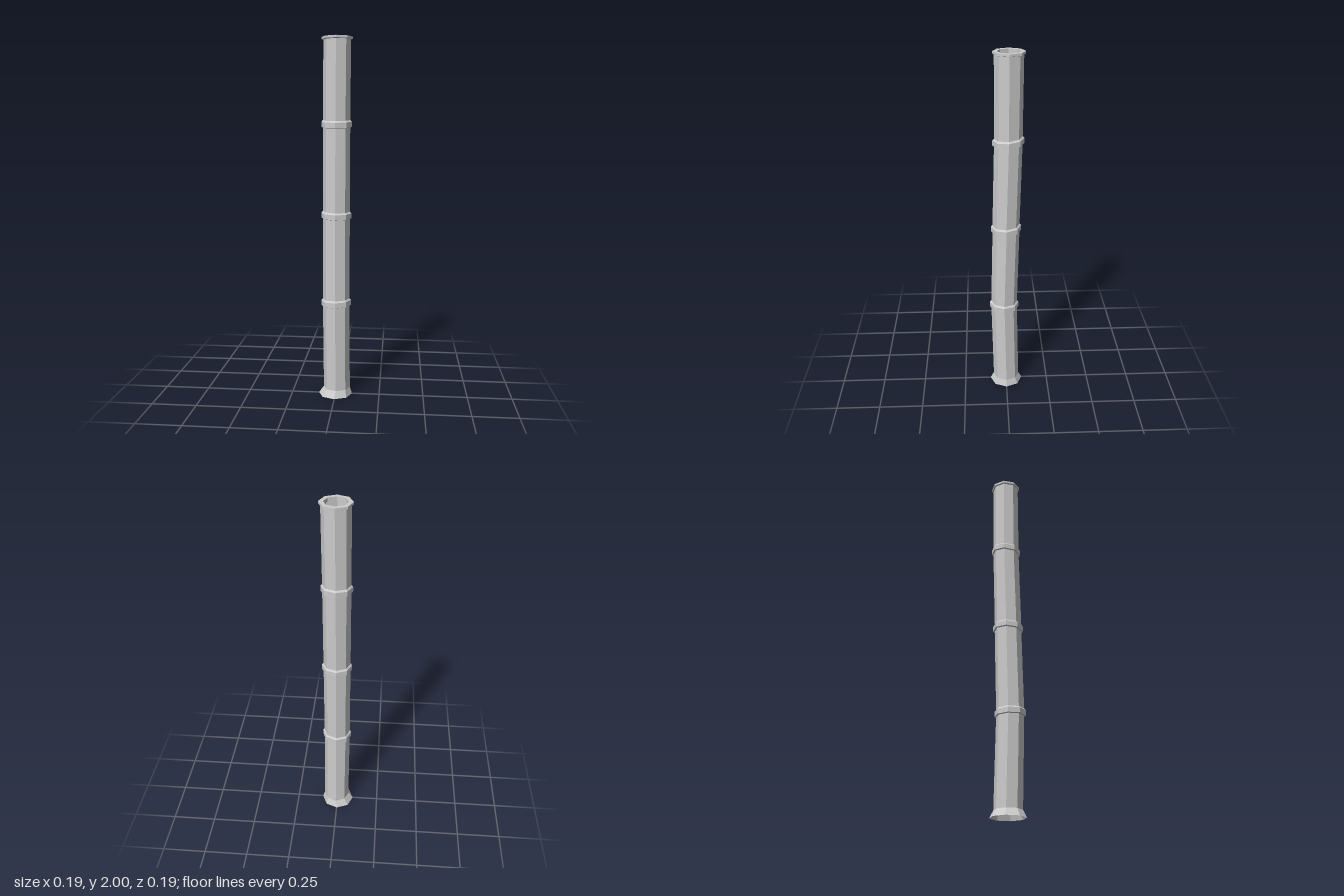
import * as THREE from 'three';

const SIDES = 8;

// Skin a list of octagonal rings: [y, radius, centreX, centreZ, tiltX, tiltZ]
function skin(name, rows, material) {
  const pos = [], index = [];
  for (const [y, r, cx, cz, tx = 0, tz = 0] of rows) {
    for (let i = 0; i < SIDES; i++) {
      const a = (i / SIDES) * Math.PI * 2;
      const dx = r * Math.sin(a), dz = r * Math.cos(a);
      pos.push(cx + dx, y + tx * dx + tz * dz, cz + dz);
    }
  }
  for (let j = 0; j < rows.length - 1; j++) {
    for (let i = 0; i < SIDES; i++) {
      const a = j * SIDES + i, b = j * SIDES + (i + 1) % SIDES;
      index.push(a, b, b + SIDES, a, b + SIDES, a + SIDES);
    }
  }
  const indexed = new THREE.BufferGeometry();
  indexed.setAttribute('position', new THREE.Float32BufferAttribute(pos, 3));
  indexed.setIndex(index);
  const geo = indexed.toNonIndexed();
  geo.computeVertexNormals();
  const mesh = new THREE.Mesh(geo, material);
  mesh.name = name;
  return mesh;
}

export function createModel() {
  const group = new THREE.Group();
  group.name = 'bambooPole';
  const material = new THREE.MeshStandardMaterial({
    color: 0xcccccc, flatShading: true, side: THREE.DoubleSide,
  });

  // Joints along the slightly bent stalk: [y, centreX, centreZ, tiltX, tiltZ]
  const joints = [
    [0.04, 0.007, 0, 0, 0],
    [0.54, 0.004, 0.011, 0.03, 0.02],
    [1.035, 0.004, 0, -0.02, -0.05],
    [1.535, 0.004, -0.012, 0, -0.08],
    [1.985, 0.007, -0.015, 0, 0],
  ];

  // Flared foot, open underneath
  group.add(skin('flaredFoot', [[0, 0.095, -0.001, 0], [0.04, 0.075, 0.007, 0]], material));

  // Hollow stalk segments between the joints
  for (let i = 0; i < joints.length - 1; i++) {
    const [y0, x0, z0, ...t0] = joints[i], [y1, x1, z1, ...t1] = joints[i + 1];
    const start = i === 0 ? y0 : y0 + 0.023;
    const end = i === joints.length - 2 ? y1 : y1 - 0.017;
    group.add(skin('stalkSegment' + (i + 1),
      [[start, 0.075, x0, z0, ...t0], [end, 0.075, x1, z1, ...t1]], material));
  }

  // Raised node rings with a bevelled upper edge
  joints.slice(1, -1).forEach(([y, ...rest], i) => {
    const row = (dy, r) => [y + dy, r, ...rest];
    group.add(skin('nodeRing' + (i + 1),
      [row(-0.017, 0.075), row(-0.014, 0.084), row(0.014, 0.084), row(0.023, 0.075)], material));
  });

  // Top lip, flat rim and short inner edge
  const lip = (y, r) => [y, r, 0.007, -0.015];
  group.add(skin('topLip',
    [lip(1.985, 0.075), lip(1.988, 0.084), lip(2, 0.084), lip(2, 0.061), lip(1.98, 0.061)], material));

  return group;
}
